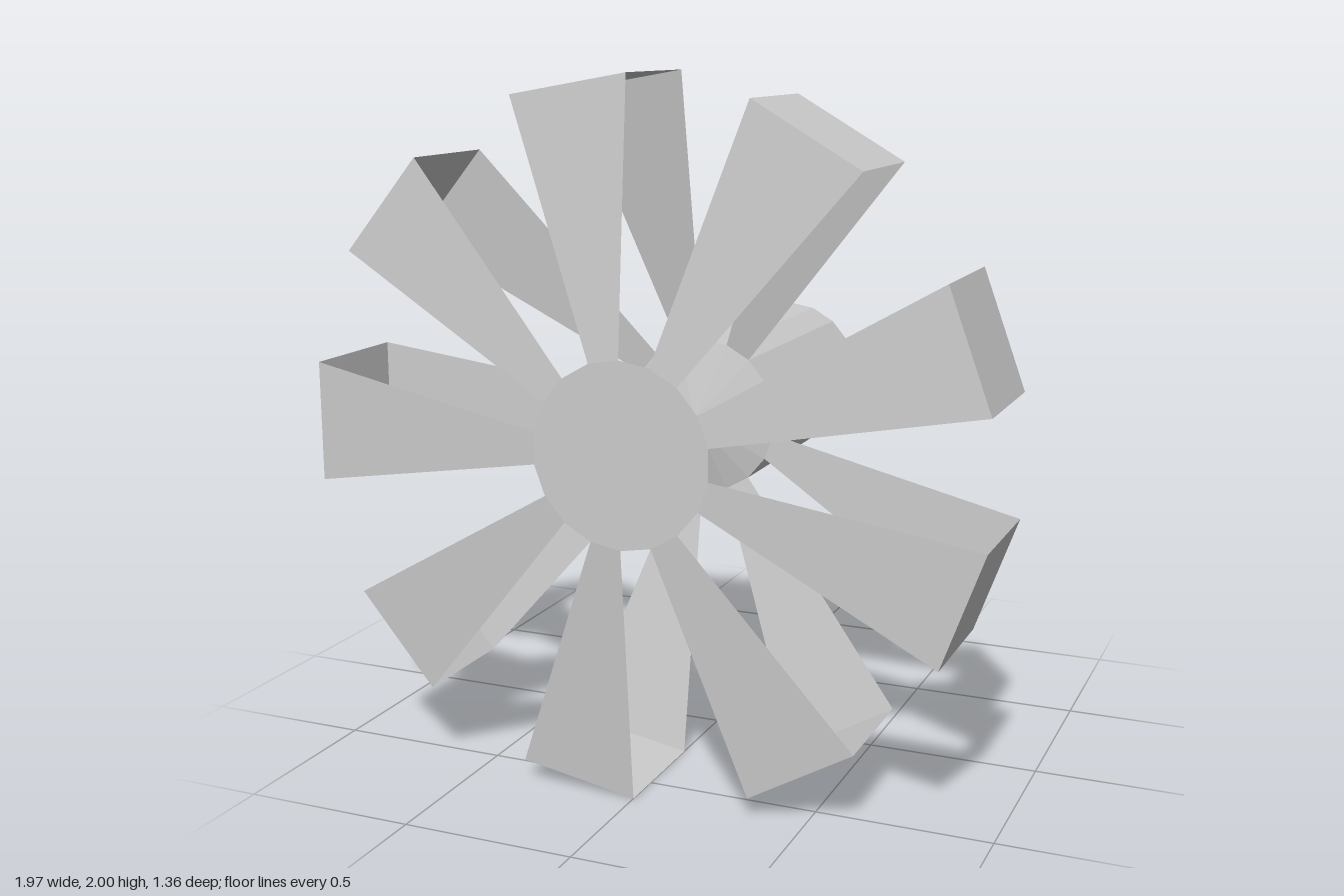
import * as THREE from 'three';

const SIDES = 18;
const STEP = (Math.PI * 2) / SIDES;

const material = new THREE.MeshStandardMaterial({
  color: 0xcccccc,
  flatShading: true,
  side: THREE.DoubleSide,
});

// Revolves [radius, z] points about the z axis.
function revolve(profile, segments, start, length) {
  const points = profile.map(([r, z]) => new THREE.Vector2(r, z));
  return new THREE.LatheGeometry(points, segments, start, length).rotateX(Math.PI / 2);
}

function addPart(group, name, geometry) {
  const mesh = new THREE.Mesh(geometry, material);
  mesh.name = name;
  group.add(mesh);
  return mesh;
}

export function createModel() {
  const group = new THREE.Group();
  group.name = 'bladedWheel';
  const wheel = new THREE.Group();
  wheel.name = 'wheel';
  wheel.position.y = 1;
  group.add(wheel);

  // Shaft with shallow conical ends
  addPart(wheel, 'shaft', revolve(
    [[0, -0.68], [0.228, -0.63], [0.228, 0.12], [0, 0.175]], SIDES, 0, Math.PI * 2));

  // Flat front hub plate
  const plate = new THREE.CircleGeometry(0.26, SIDES, Math.PI / 2);
  addPart(wheel, 'hubPlate', plate.translate(0, 0, 0.68));

  // Folded straps, one in every second segment, joining shaft and hub plate
  const strap = revolve(
    [[0.228, 0.12], [1, 0.26], [1, 0.615], [0.26, 0.68]], 1, Math.PI, STEP);
  for (let i = 0; i < SIDES / 2; i++) {
    addPart(wheel, `strap${i + 1}`, strap).rotation.z = i * 2 * STEP;
  }
  return group;
}
